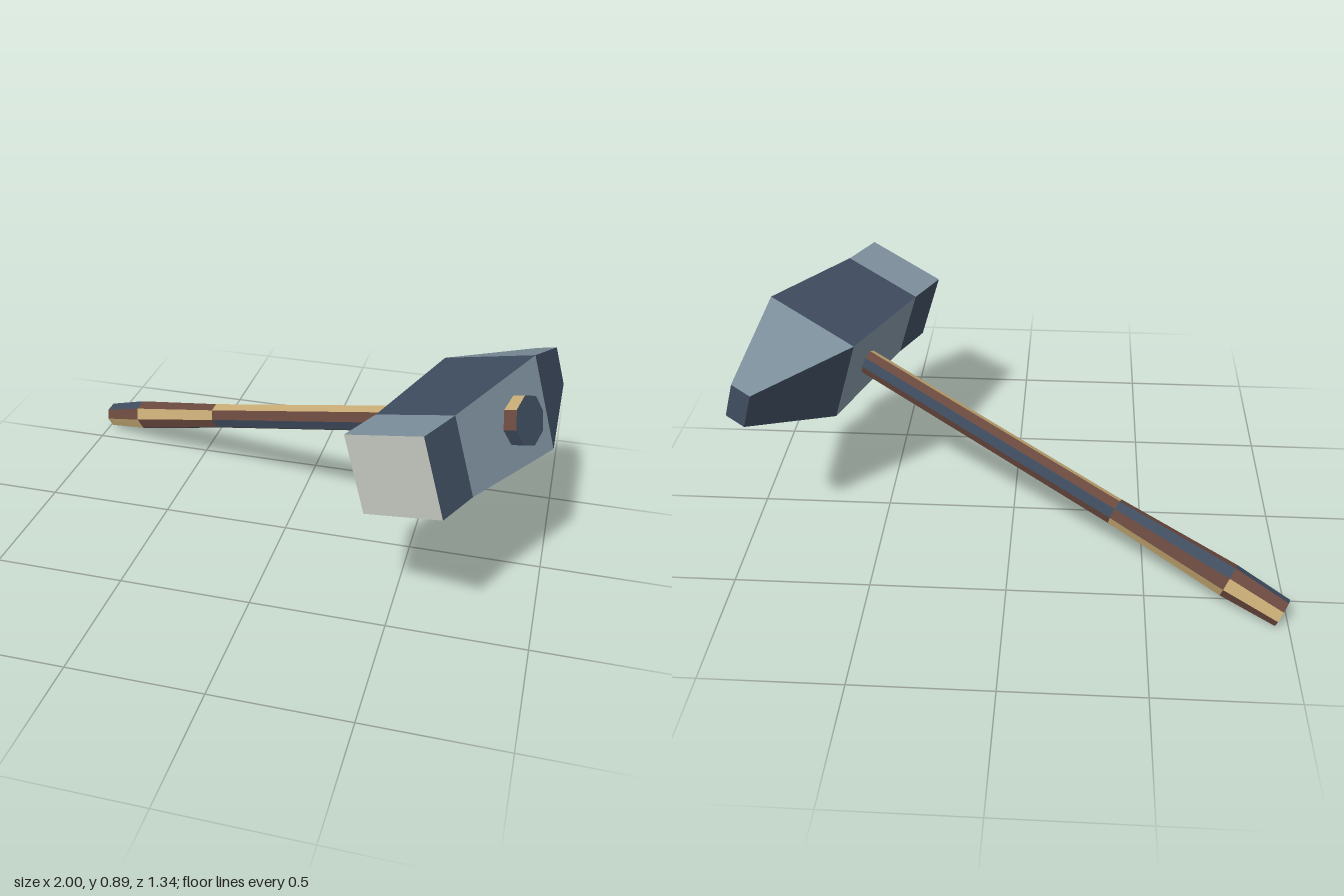
import * as THREE from 'three';

const paint = (name, color) => {
  const m = new THREE.MeshStandardMaterial({ color });
  m.name = name;
  return m;
};

// Faceted loft through rings (counter-clockwise seen from the far end).
// colourAt(segment, side) gives the material index of each panel.
function loft(rings, colourAt, startColour, endColour, materials) {
  const pos = [], geo = new THREE.BufferGeometry();
  const add = (points, colour) => {
    geo.addGroup(pos.length / 3, (points.length - 2) * 3, colour);
    for (let i = 1; i < points.length - 1; i++)
      pos.push(...points[0], ...points[i], ...points[i + 1]);
  };
  const n = rings[0].length;
  for (let s = 0; s < rings.length - 1; s++)
    for (let k = 0; k < n; k++) {
      const j = (k + 1) % n;
      add([rings[s][k], rings[s][j], rings[s + 1][j], rings[s + 1][k]], colourAt(s, k));
    }
  add([...rings[0]].reverse(), startColour);
  add(rings[rings.length - 1], endColour);
  geo.setAttribute('position', new THREE.Float32BufferAttribute(pos, 3));
  geo.computeVertexNormals();
  return new THREE.Mesh(geo, materials);
}

export function createModel() {
  const slate = paint('slate steel', 0x7d909d);
  const navy = paint('navy steel', 0x3f4d60);
  const pale = paint('pale striking steel', 0xc2c6be);
  const tan = paint('tan wood', 0xc6aa74);
  const brown = paint('brown wood', 0x6a493e);

  // Hammer in its own frame: handle along x, head along z
  const hammer = new THREE.Group();
  hammer.name = 'hammer';

  // Head: peen, cheek and striking block; [z, width, height]
  const headRings = [
    [-0.551, 0.081, 0.146], [-0.165, 0.373, 0.347],
    [0.313, 0.319, 0.283], [0.49, 0.319, 0.283],
  ].map(([z, w, h]) => [[1, -1], [1, 1], [-1, 1], [-1, -1]]
    .map(([x, y]) => [x * w / 2, y * h / 2, z]));
  const head = loft(headRings, (s, k) => (k + s) % 2, 0, 2, [navy, slate, pale]);
  head.name = 'head';
  hammer.add(head);

  // Eight-sided wooden pieces; [x, radius in y, radius in z]
  const octagon = ([x, ry, rz]) => Array.from({ length: 8 }, (_, k) => {
    const a = k * Math.PI / 4;
    return [x, ry * Math.cos(a), rz * Math.sin(a)];
  });
  const wood = [tan, brown, navy, brown];

  // Handle with panel colours stepping round the grip
  const handle = loft([
    [-1.955, 0.053, 0.053], [-1.74, 0.065, 0.059],
    [-1.272, 0.053, 0.045], [-0.12, 0.05, 0.042],
  ].map(octagon), (s, k) => (k + s + 2) % 4, 1, 1, wood);
  handle.name = 'handle';
  hammer.add(handle);

  // Flared end of the handle, showing through the head
  const tip = loft([[0.1, 0.088, 0.088], [0.222, 0.09, 0.09]].map(octagon),
    (s, k) => k % 4, 1, 2, wood);
  tip.name = 'handleTip';
  hammer.add(tip);

  // Lay the hammer down at its resting tilt
  const along = new THREE.Vector3(0.8645, 0.317, 0.39).normalize();
  const face = new THREE.Vector3(-0.412, 0.001, 0.911);
  const up = face.clone().cross(along).normalize();
  face.crossVectors(along, up);
  hammer.quaternion.setFromRotationMatrix(new THREE.Matrix4().makeBasis(along, up, face));
  hammer.position.set(0.7145, 0.68, 0.142);

  const model = new THREE.Group();
  model.add(hammer);
  return model;
}
